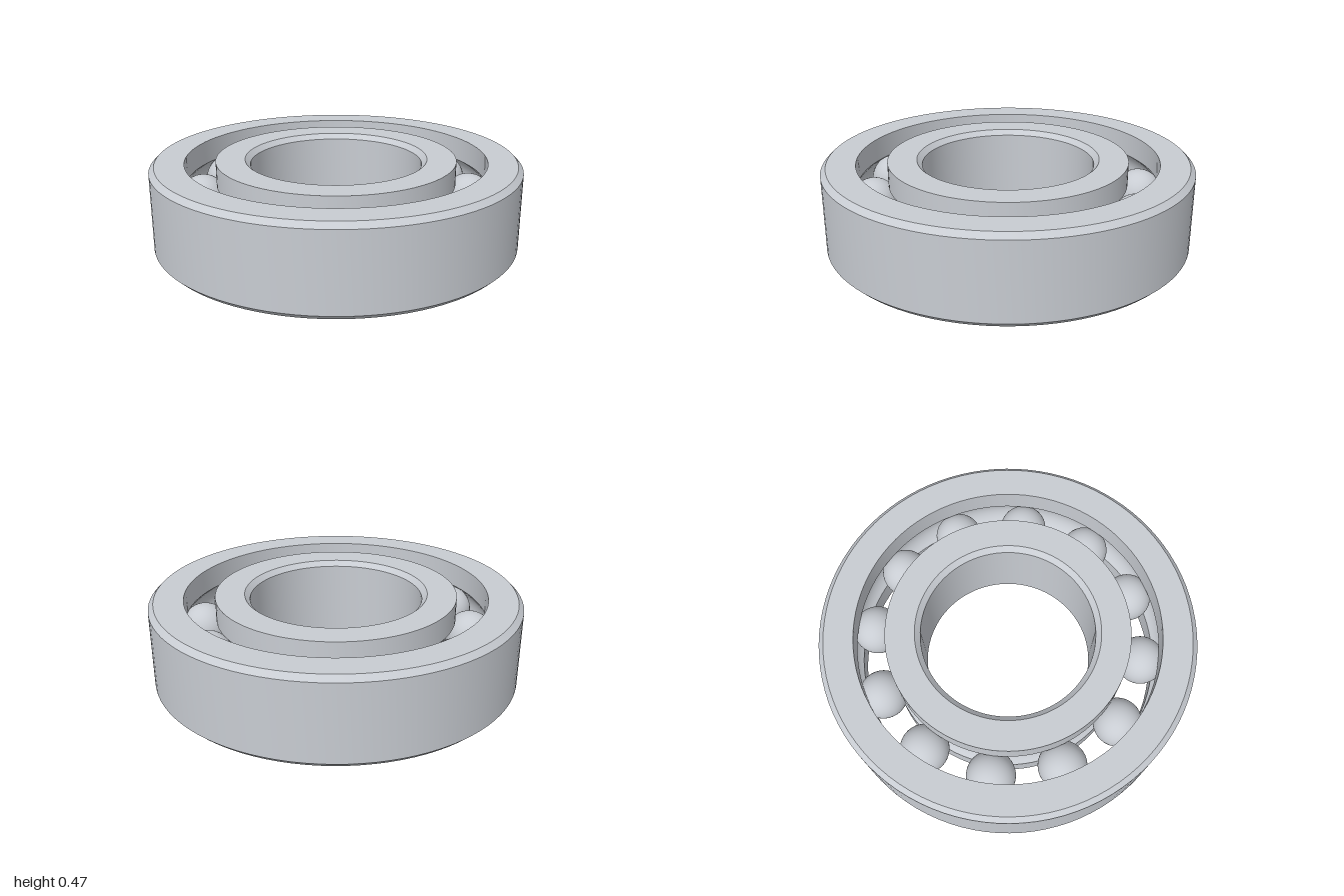
import * as THREE from 'three';
import { toCreasedNormals } from 'three/addons/utils/BufferGeometryUtils.js';

const HEIGHT = 0.47, MID = HEIGHT / 2;
const PITCH = 0.732, BALL = 0.131, COUNT = 12;
const OUTER = 1, OUTER_LAND = 0.815, INNER_LAND = 0.65, BORE = 0.465, CHAMFER = 0.028;

// Arc of the ball groove between the two edges of a land, listed bottom to top
function groove(land, steps = 12) {
  const r = BALL + 0.002;
  const side = Math.sign(land - PITCH);
  const limit = Math.acos(Math.abs(land - PITCH) / r);
  return Array.from({ length: steps + 1 }, (_, i) => {
    const a = -limit + (2 * limit * i) / steps;
    return [PITCH + side * r * Math.cos(a), MID + r * Math.sin(a)];
  });
}

// Revolve a closed profile, running up its outer side and down its inner side
function ring(name, profile, material) {
  const points = [...profile, profile[0]].map(([x, y]) => new THREE.Vector2(x, y));
  const geometry = toCreasedNormals(new THREE.LatheGeometry(points, 96), 0.5);
  const mesh = new THREE.Mesh(geometry, material);
  mesh.name = name;
  return mesh;
}

export function createModel() {
  const model = new THREE.Group();
  model.name = 'ballBearing';
  const steel = new THREE.MeshStandardMaterial({ color: 0xc8ccd2 });
  steel.name = 'steel';

  // Outer ring: chamfered outside, grooved inside
  model.add(ring('outerRing', [
    [OUTER_LAND, 0], [OUTER - CHAMFER, 0], [OUTER, CHAMFER],
    [OUTER, HEIGHT - CHAMFER], [OUTER - CHAMFER, HEIGHT], [OUTER_LAND, HEIGHT],
    ...groove(OUTER_LAND).reverse(),
  ], steel));

  // Inner ring: grooved outside, chamfered bore
  model.add(ring('innerRing', [
    [BORE + CHAMFER, 0], [INNER_LAND, 0],
    ...groove(INNER_LAND),
    [INNER_LAND, HEIGHT], [BORE + CHAMFER, HEIGHT],
    [BORE, HEIGHT - CHAMFER], [BORE, CHAMFER],
  ], steel));

  // Balls spaced evenly around the race
  const balls = new THREE.Group();
  balls.name = 'balls';
  const ballGeometry = new THREE.SphereGeometry(BALL, 32, 24);
  for (let i = 0; i < COUNT; i++) {
    const a = (i / COUNT) * Math.PI * 2;
    const ball = new THREE.Mesh(ballGeometry, steel);
    ball.name = `ball${i + 1}`;
    ball.position.set(PITCH * Math.cos(a), MID, PITCH * Math.sin(a));
    balls.add(ball);
  }
  model.add(balls);
  return model;
}
